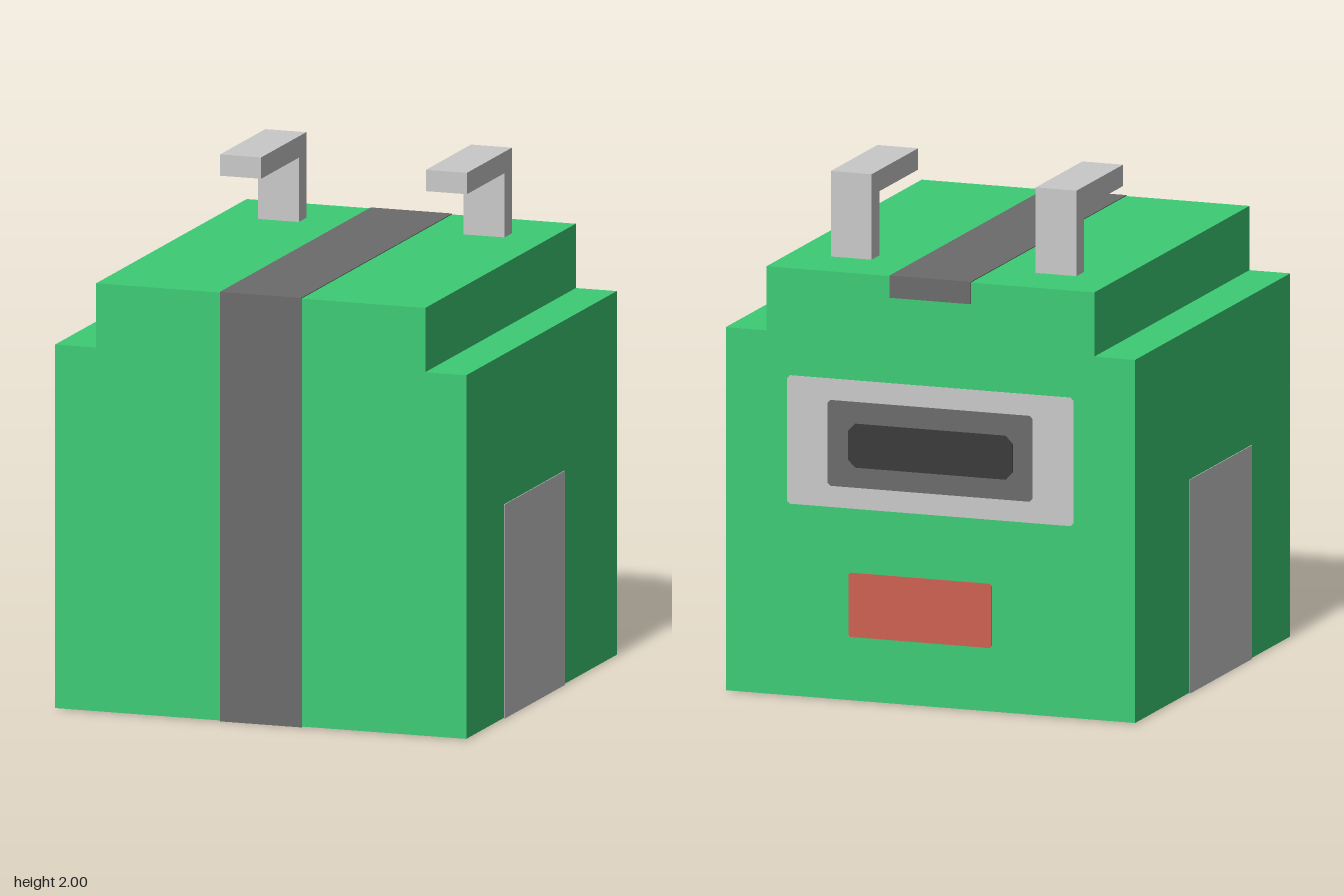
import * as THREE from 'three';

const mat = (name, color) => {
  const m = new THREE.MeshStandardMaterial({ color });
  m.name = name;
  return m;
};

export function createModel() {
  const green = mat('green', 0x3dcc75);
  const darkGrey = mat('dark grey', 0x6b6b6b);
  const lightGrey = mat('light grey', 0xc9c9c9);
  const charcoal = mat('charcoal', 0x3a3a3a);
  const red = mat('red', 0xcd6151);

  const model = new THREE.Group();
  model.name = 'backpack';
  const W = 0.833, H = 1.667, T = 0.003; // half width, height, plate thickness

  const add = (name, geometry, material, parent = model) => {
    const mesh = new THREE.Mesh(geometry, material);
    mesh.name = name;
    parent.add(mesh);
    return mesh;
  };
  // box given by its min and max corners
  const box = (name, a, b, material, parent) => {
    const mesh = add(name, new THREE.BoxGeometry(b[0] - a[0], b[1] - a[1], b[2] - a[2]), material, parent);
    mesh.position.set((a[0] + b[0]) / 2, (a[1] + b[1]) / 2, (a[2] + b[2]) / 2);
    return mesh;
  };

  // Body: stepped section run from back to front
  const section = new THREE.Shape([
    [-W, T], [W, T], [W, 1.417], [0.667, 1.417], [0.667, H], [-0.667, H], [-0.667, 1.417], [-W, 1.417],
  ].map(([x, y]) => new THREE.Vector2(x, y)));
  const bodyGeo = new THREE.ExtrudeGeometry(section, { depth: 2 * W, bevelEnabled: false });
  bodyGeo.translate(0, 0, -W);
  add('body', bodyGeo, green);

  // Stripe over the front, top, back lip and underside
  const S = 0.165;
  box('stripeFront', [-S, 0, W], [S, H + T, W + T], darkGrey);
  box('stripeTop', [-S, H, -W - T], [S, H + T, W], darkGrey);
  box('stripeBackLip', [-S, 1.583, -W - T], [S, H, -W], darkGrey);
  box('stripeUnderFront', [-S, 0, 0.417], [S, T, W], darkGrey);
  box('stripeUnderBack', [-S, 0, -0.75], [S, T, -0.25], darkGrey);

  // Side panels joined by a band underneath
  for (const s of [-1, 1]) {
    const x = [s * W, s * (W + T)].sort((p, q) => p - q);
    box(s > 0 ? 'sidePanelLeft' : 'sidePanelRight', [x[0], 0, -0.25], [x[1], 0.833, 0.417], lightGrey);
  }
  box('underBand', [-W, 0, -0.25], [W, T, 0.417], lightGrey);

  // Back plates with clipped corners
  const backPlate = (name, x0, x1, y0, y1, clip, layer, material) => {
    const c = clip;
    const shape = new THREE.Shape([
      [x0 + c, y0], [x1 - c, y0], [x1, y0 + c], [x1, y1 - c],
      [x1 - c, y1], [x0 + c, y1], [x0, y1 - c], [x0, y0 + c],
    ].map(([x, y]) => new THREE.Vector2(x, y)));
    const geo = new THREE.ExtrudeGeometry(shape, { depth: T, bevelEnabled: false });
    geo.translate(0, 0, -W - T * layer);
    add(name, geo, material);
  };
  backPlate('backPanel', -0.583, 0.583, 0.75, 1.25, 0.012, 1, lightGrey);
  backPlate('backFrame', -0.417, 0.417, 0.833, 1.167, 0.012, 2, darkGrey);
  backPlate('backSlot', -0.338, 0.333, 0.912, 1.083, 0.03, 3, charcoal);
  backPlate('redLabel', -0.25, 0.333, 0.25, 0.5, 0.008, 1, red);

  // Hooked handles: a post and an arm reaching forward
  for (const s of [-1, 1]) {
    const handle = new THREE.Group();
    handle.name = s > 0 ? 'handleLeft' : 'handleRight';
    const x0 = s * 0.417 - 0.083, x1 = s * 0.417 + 0.083;
    box('post', [x0, H, -0.583], [x1, 1.917, -0.5], lightGrey, handle);
    box('arm', [x0, 1.917, -0.583], [x1, 2, -0.083], lightGrey, handle);
    model.add(handle);
  }
  return model;
}
